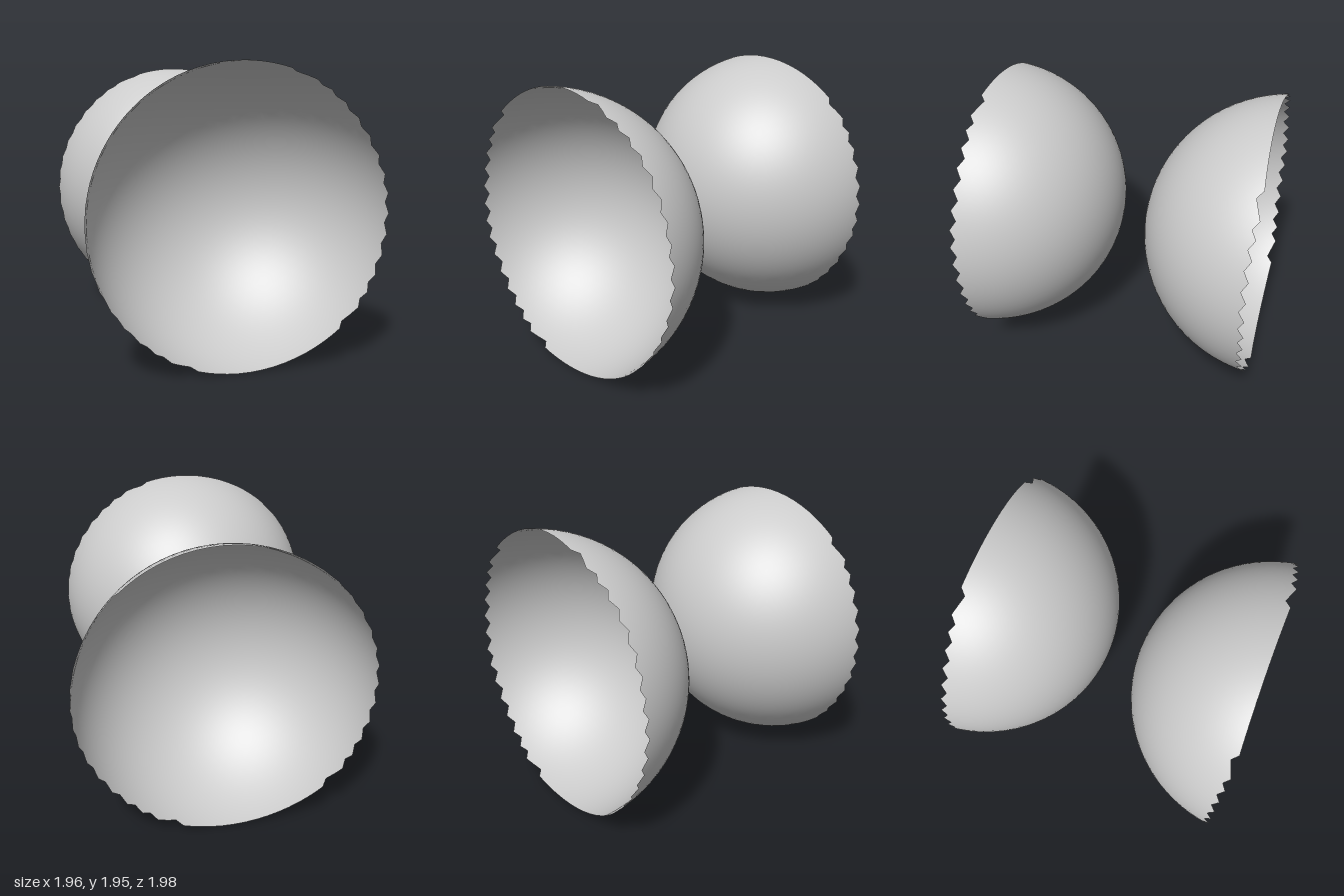
import * as THREE from 'three';

const RADIUS = 0.985; // sphere the bowls are cut from
const CENTRE = 1.095; // distance of each sphere centre from the middle
const CUT = 0.1; // height of the cut above the sphere centre

// Geodesic sphere keeping only whole triangles beyond the cut, which leaves a ragged rim
function bowlGeometry() {
  const sphere = new THREE.IcosahedronGeometry(RADIUS, 15);
  sphere.rotateZ(0.21);
  const pos = sphere.attributes.position;
  const points = [];
  const normals = [];
  for (let i = 0; i < pos.count; i += 3) {
    const corners = [0, 1, 2].map(k => new THREE.Vector3().fromBufferAttribute(pos, i + k));
    if (corners.some(c => c.z > -CUT + 0.005)) continue;
    for (const c of corners) {
      points.push(c.x, c.y, c.z);
      c.normalize();
      normals.push(c.x, c.y, c.z);
    }
  }
  const geometry = new THREE.BufferGeometry();
  geometry.setAttribute('position', new THREE.Float32BufferAttribute(points, 3));
  geometry.setAttribute('normal', new THREE.Float32BufferAttribute(normals, 3));
  return geometry;
}

export function createModel() {
  const model = new THREE.Group();
  model.name = 'twoBowls';
  const material = new THREE.MeshStandardMaterial({ color: 0xcccccc, side: THREE.DoubleSide });
  const geometry = bowlGeometry();

  // Two thin bowls set back to back, open ends facing outward
  for (const side of [1, -1]) {
    const bowl = new THREE.Mesh(geometry, material);
    bowl.name = side > 0 ? 'frontBowl' : 'backBowl';
    bowl.position.set(0, 0.99, side * CENTRE);
    if (side < 0) bowl.rotation.x = Math.PI;
    model.add(bowl);
  }
  return model;
}
